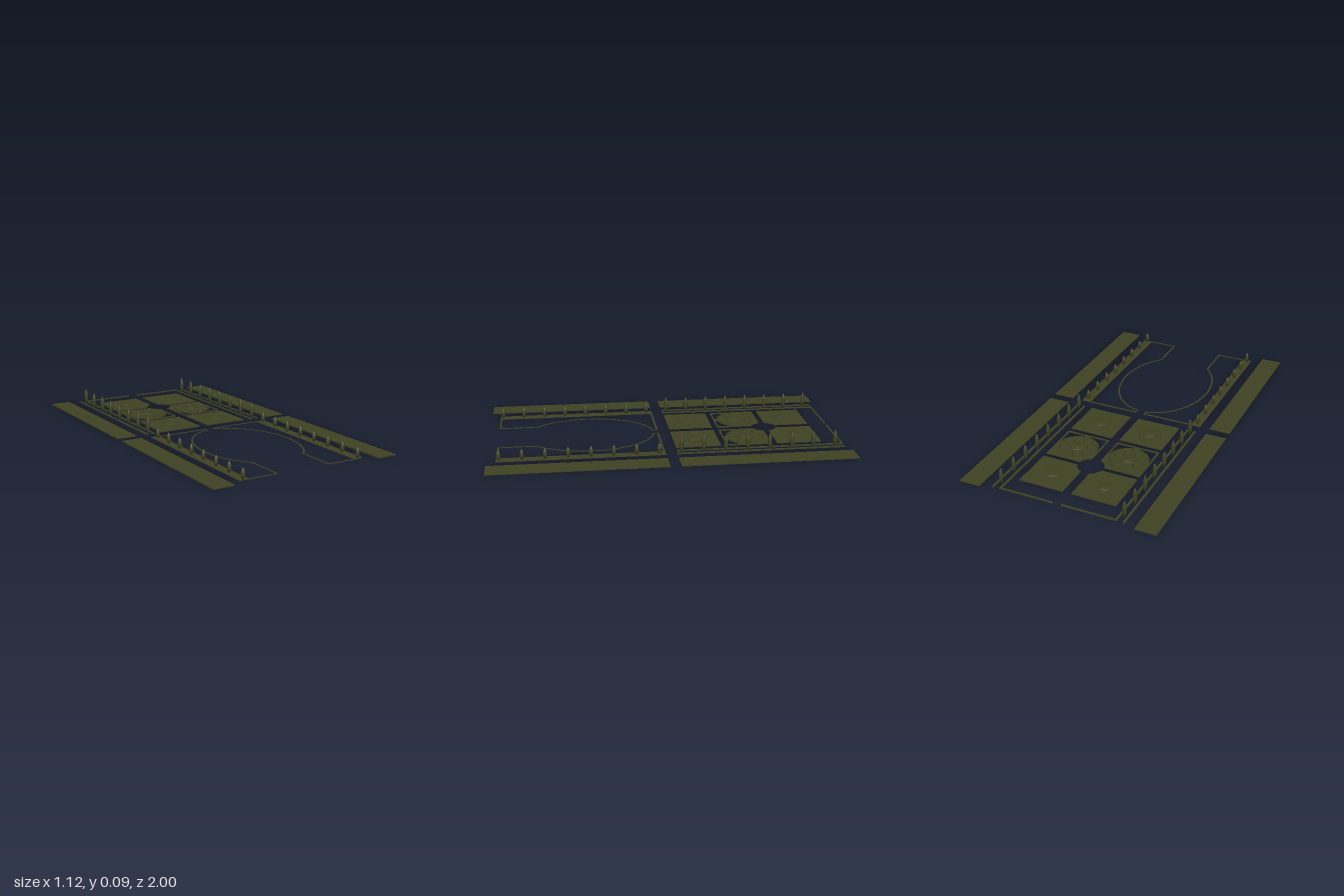
import * as THREE from 'three';

const hedgeGreen = new THREE.MeshStandardMaterial({ color: 0x3e4222 });
hedgeGreen.name = 'hedge green';

const PLATE = 0.006; // height of the planted beds
const FLAT = 0.0015; // height of the flat front garden

export function createModel() {
  const garden = new THREE.Group();
  garden.name = 'formalGarden';

  const add = (name, geometry, x = 0, y = 0, z = 0) => {
    const mesh = new THREE.Mesh(geometry, hedgeGreen);
    mesh.name = name;
    mesh.position.set(x, y, z);
    garden.add(mesh);
    return mesh;
  };

  // Box on the ground between two x and two z values, on side s
  const slab = (name, s, x0, x1, z0, z1, h = PLATE, y = 0) =>
    add(name, new THREE.BoxGeometry(x1 - x0, h, z1 - z0), s * (x0 + x1) / 2, y + h / 2, (z0 + z1) / 2);

  // Flat plate from an outline of [x, z] points, mirrored by s
  const plate = (name, s, points, h = PLATE) => {
    const shape = new THREE.Shape(points.map(([x, z]) => new THREE.Vector2(s * x, z)));
    const geometry = new THREE.ExtrudeGeometry(shape, { depth: h, bevelEnabled: false });
    geometry.rotateX(Math.PI / 2);
    add(name, geometry, 0, h, 0);
  };

  // Points along an elliptical arc
  const arc = (cx, cz, rx, rz, a0, a1, n = 24) =>
    Array.from({ length: n + 1 }, (_, i) => {
      const a = a0 + (a1 - a0) * i / n;
      return [cx + rx * Math.cos(a), cz + rz * Math.sin(a)];
    });

  // Low ring of clipped hedge
  const ring = (name, x, z, r, tube = 0.002, y = PLATE) => {
    const geometry = new THREE.TorusGeometry(r, tube, 4, 24);
    geometry.rotateX(Math.PI / 2);
    add(name, geometry, x, y, z);
  };

  // Clipped cypress with a short trunk
  const profile = [[0, 0], [0.005, 0], [0.005, 0.011], [0.009, 0.012], [0.012, 0.03],
    [0.0115, 0.058], [0.007, 0.08], [0, 0.095]];
  const treeGeometry = (height) => new THREE.LatheGeometry(
    profile.map(([r, y]) => new THREE.Vector2(r, y * height / 0.095)), 10);
  const tallTree = treeGeometry(0.095);
  const shortTree = treeGeometry(0.062);

  // Stepped mound in the middle of each bed
  const mound = new THREE.LatheGeometry([[0.04, 0], [0.04, 0.004], [0.032, 0.005], [0.018, 0.006],
    [0.018, 0.009], [0, 0.009]].map(([r, y]) => new THREE.Vector2(r, y)), 8);

  const BX = 0.153; // centre line of the beds
  const FZ = -0.594; // centre of the round clearing
  const FR = 0.073;

  for (const s of [-1, 1]) {
    // Outer lawns
    slab('outerLawnBack', s, 0.44, 0.56, -1, -0.03);
    slab('outerLawnFront', s, 0.44, 0.56, 0.03, 1);

    // Back border hedges
    slab('outerBorder', s, 0.367, 0.379, -0.975, -0.03);
    slab('innerBorder', s, 0.324, 0.336, -0.975, -0.03);
    slab('backBorder', s, 0.025, 0.336, -0.975, -0.965);

    // Front garden: tree bed and thin border
    slab('treeBed', s, 0.324, 0.38, 0.03, 0.95, FLAT);
    slab('crossBorder', s, 0.025, 0.324, 0.03, 0.042, FLAT);
    slab('crossBorderEnd', s, 0.025, 0.034, 0.042, 0.066, FLAT);
    slab('entryBorder', s, 0.155, 0.165, 0.722, 0.95, FLAT);
    slab('frontBorder', s, 0.165, 0.324, 0.94, 0.95, FLAT);
    const a0 = -1.459, a1 = 0.937;
    plate('ovalBorder', s, [
      ...arc(0, 0.43, 0.275, 0.375, a0, a1, 40),
      ...arc(0, 0.43, 0.265, 0.365, a1, a0, 40)], FLAT);

    // Two rows of cypress trees
    for (let i = 0; i < 8; i++) {
      add('tallCypress', tallTree, s * 0.353, 0, -0.057 - i * 0.1235);
      add('shortCypress', shortTree, s * 0.353, 0, 0.065 + i * 0.1243);
    }

    // Back bed, cut by the round clearing
    plate('backBed', s, [[0.025, -0.865], [0.28, -0.865], [0.28, -0.61],
      ...arc(0, FZ, FR, FR, -0.221, -1.221, 12)]);

    // Middle bed: straight behind, round in front
    plate('middleBed', s, [[0.28, -0.58], [0.28, -0.45],
      ...arc(BX, -0.45, 0.115, 0.11, 0, Math.PI, 28), [0.025, -0.45],
      ...arc(0, FZ, FR, FR, 1.221, 0.194, 12)]);
    slab('middleFrameOuter', s, 0.271, 0.28, -0.45, -0.32);
    slab('middleFrameInner', s, 0.025, 0.034, -0.45, -0.32);
    slab('middleFrameFront', s, 0.034, 0.271, -0.329, -0.32);
    slab('middleStem', s, BX - 0.012, BX + 0.012, -0.345, -0.329);

    // Scroll pattern of the middle bed
    ring('scrollOuterRing', s * BX, -0.45, 0.106);
    for (let i = 0; i < 8; i++) {
      const a = (i + 0.5) * Math.PI / 4;
      ring('scroll', s * BX + 0.075 * Math.cos(a), -0.45 + 0.075 * Math.sin(a), 0.026);
    }

    // Front bed with ring and spokes
    slab('frontBed', s, 0.025, 0.28, -0.29, -0.035);
    ring('bedRing', s * BX, -0.163, 0.06, 0.0015);
    for (const d of [-1, 1]) {
      slab('bedSpoke', s, BX - 0.002, BX + 0.002, -0.163 + d * 0.085 - 0.025, -0.163 + d * 0.085 + 0.025, 0.001, PLATE);
      slab('bedSpoke', s, BX + d * 0.085 - 0.025, BX + d * 0.085 + 0.025, -0.165, -0.161, 0.001, PLATE);
    }

    // Mounds
    for (const z of [-0.738, -0.45, -0.163]) {
      const m = add('mound', mound, s * BX, PLATE - 0.001, z);
      m.rotation.y = Math.PI / 8;
      // outward and upward faces need the profile from base to tip
    }
  }
  return garden;
}
